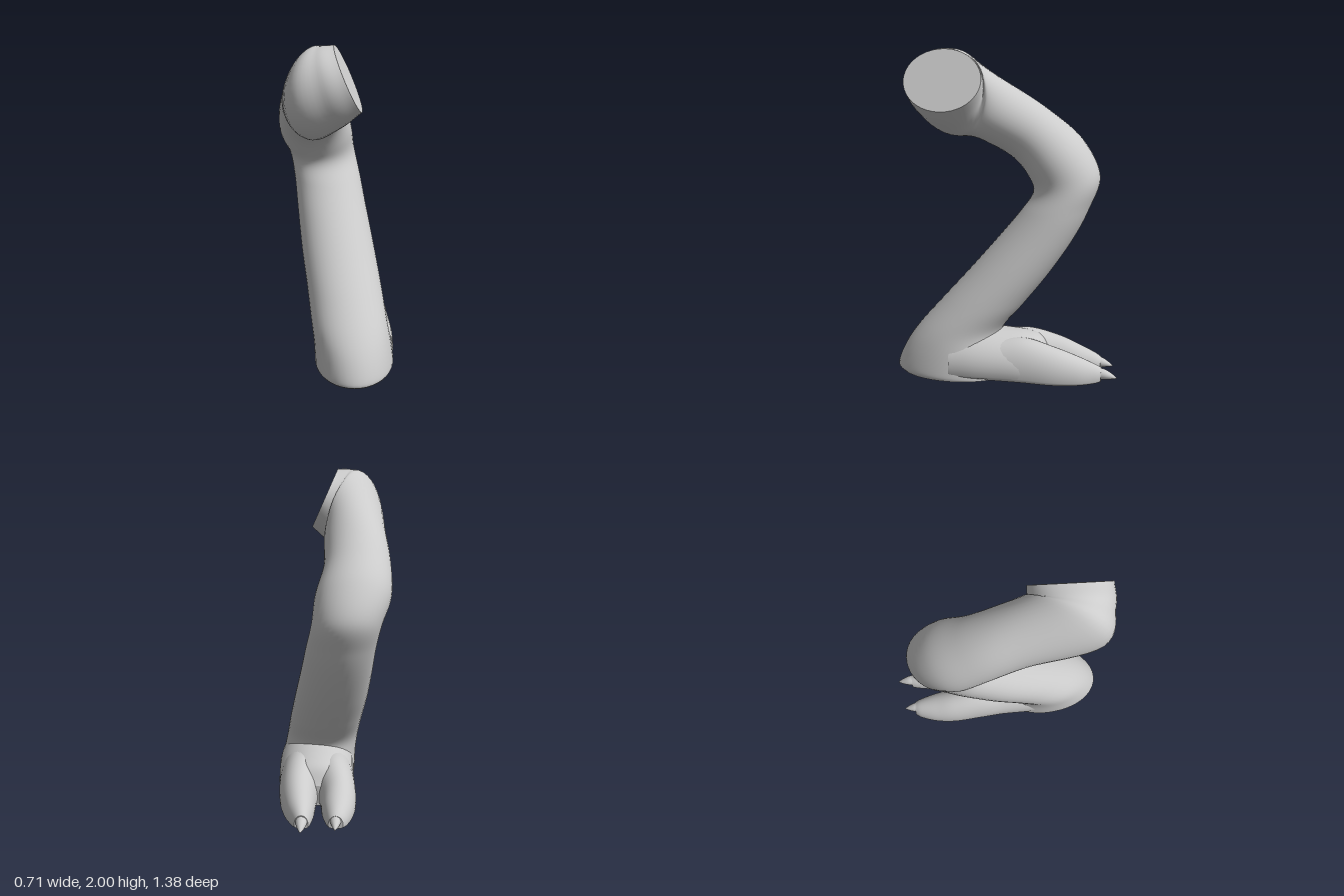
import * as THREE from 'three';

const material = new THREE.MeshStandardMaterial({ color: 0xcccccc });
const V = (x, y, z) => new THREE.Vector3(x, y, z);

// Smooth skin through stations { c: centre, u: side axis, v: upper axis }, closed by flat caps
function loft(name, stations, { flatBottom = false, sides = 40, steps = 8 } = {}) {
  const [cs, us, vs] = ['c', 'u', 'v'].map(k => new THREE.CatmullRomCurve3(stations.map(s => s[k]), false, 'catmullrom'));
  const rows = (stations.length - 1) * steps;
  const pos = [], idx = [];
  const addRing = t => {
    const c = cs.getPoint(t), u = us.getPoint(t), v = vs.getPoint(t);
    for (let j = 0; j < sides; j++) {
      const a = j / sides * Math.PI * 2;
      let s = Math.sin(a);
      if (flatBottom && s < 0) s = -0.43 * Math.pow(-s, 0.45);
      const p = c.clone().addScaledVector(u, Math.cos(a)).addScaledVector(v, s);
      pos.push(p.x, p.y, p.z);
    }
    return c;
  };
  for (let i = 0; i <= rows; i++) addRing(i / rows);
  for (let i = 0; i < rows; i++) {
    for (let j = 0; j < sides; j++) {
      const k = (j + 1) % sides, a = i * sides, b = a + sides;
      idx.push(a + j, b + j, a + k, a + k, b + j, b + k);
    }
  }
  for (const t of [0, 1]) {
    const base = pos.length / 3, c = addRing(t), mid = pos.length / 3;
    pos.push(c.x, c.y, c.z);
    for (let j = 0; j < sides; j++) {
      const k = (j + 1) % sides;
      if (t === 0) idx.push(mid, base + j, base + k);
      else idx.push(mid, base + k, base + j);
    }
  }
  const g = new THREE.BufferGeometry();
  g.setAttribute('position', new THREE.Float32BufferAttribute(pos, 3));
  g.setIndex(idx);
  g.computeVertexNormals();
  const mesh = new THREE.Mesh(g, material);
  mesh.name = name;
  return mesh;
}

// Leg section from an inner point (z, y) to an outer point (z, y), with x centre and half width
const legSection = ([zA, yA, zB, yB, x, hw]) => ({
  c: V(x, (yA + yB) / 2, (zA + zB) / 2),
  u: V(hw, 0, 0),
  v: V(0, (yB - yA) / 2, (zB - zA) / 2),
});

// Foot section at z, between two x values and two heights, flat underneath
const footSection = ([z, xL, xR, bottom, top]) => ({
  c: V((xL + xR) / 2, bottom + 0.3 * (top - bottom), z),
  u: V((xR - xL) / 2, 0, 0),
  v: V(0, 0.7 * (top - bottom), 0),
});

// Round claw section at z
const clawSection = ([z, x, y, rx, ry]) => ({ c: V(x, y, z), u: V(rx, 0, 0), v: V(0, ry, 0) });

export function createModel() {
  const group = new THREE.Group();
  group.name = 'leg';

  // Hip stump turning into the thigh, knee, shin and heel
  const hip = [
    { c: V(0.07, 1.82, 0.40), u: V(0, 0, -0.238), v: V(-0.08, 0.18, 0) },
    { c: V(-0.02, 1.775, 0.40), u: V(0.04, 0, -0.24), v: V(-0.07, 0.222, 0) },
    { c: V(-0.11, 1.72, 0.355), u: V(0.15, 0, -0.21), v: V(-0.03, 0.25, -0.03) },
  ];
  const limb = [
    [0.22, 1.45, 0.0, 1.77, -0.13, 0.19],
    [0.01, 1.34, -0.24, 1.61, -0.15, 0.20],
    [-0.10, 1.22, -0.43, 1.45, -0.13, 0.222],
    [-0.13, 1.13, -0.54, 1.24, -0.095, 0.205],
    [-0.06, 1.02, -0.48, 1.04, -0.06, 0.207],
    [0.07, 0.86, -0.39, 0.86, -0.03, 0.215],
    [0.25, 0.65, -0.25, 0.65, 0.01, 0.225],
    [0.42, 0.46, -0.10, 0.46, 0.05, 0.228],
    [0.56, 0.30, 0.03, 0.30, 0.08, 0.23],
    [0.64, 0.18, 0.02, 0.18, 0.10, 0.234],
    [0.688, 0.06, -0.02, 0.06, 0.112, 0.24],
    [0.665, 0.025, -0.03, 0.025, 0.113, 0.238],
  ].map(legSection);
  group.add(loft('limb', [...hip, ...limb]));

  // Instep
  group.add(loft('instep', [
    [0.32, -0.12, 0.352, 0.02, 0.32],
    [0.18, -0.125, 0.353, 0.02, 0.315],
    [0.03, -0.13, 0.343, 0.018, 0.302],
    [-0.12, -0.14, 0.328, 0.014, 0.282],
    [-0.21, -0.125, 0.305, 0.012, 0.245],
    [-0.27, -0.06, 0.25, 0.02, 0.15],
  ].map(footSection), { flatBottom: true }));

  // Two toes
  group.add(loft('leftToe', [
    [0.08, 0.08, 0.335, 0.02, 0.26],
    [-0.12, 0.07, 0.328, 0.014, 0.277],
    [-0.30, 0.085, 0.31, 0.005, 0.23],
    [-0.45, 0.092, 0.27, 0.004, 0.172],
    [-0.55, 0.105, 0.222, 0.01, 0.125],
    [-0.592, 0.115, 0.198, 0.02, 0.103],
  ].map(footSection), { flatBottom: true }));
  group.add(loft('rightToe', [
    [0.08, -0.12, 0.13, 0.02, 0.26],
    [-0.12, -0.142, 0.12, 0.012, 0.272],
    [-0.30, -0.155, 0.065, 0.002, 0.22],
    [-0.43, -0.142, 0.045, 0.001, 0.165],
    [-0.53, -0.112, 0.018, 0.006, 0.12],
    [-0.572, -0.088, 0.0, 0.015, 0.095],
  ].map(footSection), { flatBottom: true }));

  // Claws, tapering to a slightly drooping tip
  for (const [name, x, z] of [['leftClaw', 0.156, -0.58], ['rightClaw', -0.043, -0.54]]) {
    group.add(loft(name, [
      [z, x, 0.064, 0.036, 0.036],
      [z - 0.04, x, 0.06, 0.03, 0.03],
      [z - 0.08, x, 0.05, 0.016, 0.016],
      [z - 0.107, x, 0.04, 0.002, 0.002],
    ].map(clawSection), { sides: 20 }));
  }
  return group;
}
